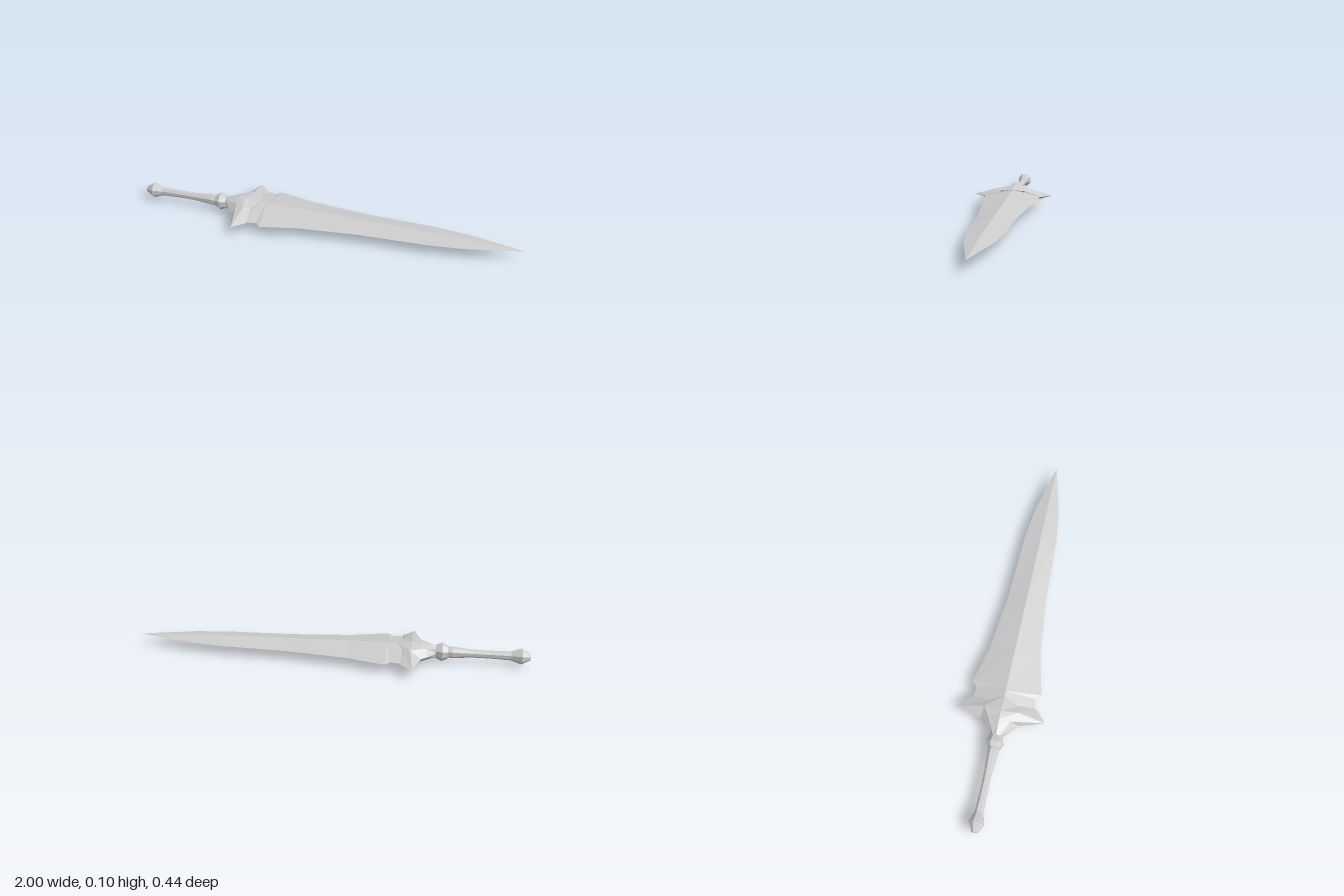
import * as THREE from 'three';

const AXIS_Y = 0.0515; // height of the sword's long axis

// Skin a list of rings (points [x, y, z], ordered from +y towards +z) with flat facets
function loft(name, rings, material) {
  const pos = [];
  const n = rings[0].length;
  const tri = (...pts) => pts.forEach((p) => pos.push(p[0], p[1] + AXIS_Y, p[2]));
  const centre = (ring) => [0, 1, 2].map((k) => ring.reduce((s, p) => s + p[k], 0) / n);
  for (let r = 0; r < rings.length - 1; r++) {
    const a = rings[r], b = rings[r + 1];
    for (let i = 0; i < n; i++) {
      const j = (i + 1) % n;
      tri(a[i], a[j], b[j]);
      tri(a[i], b[j], b[i]);
    }
  }
  const first = rings[0], last = rings[rings.length - 1];
  const c0 = centre(first), c1 = centre(last);
  for (let i = 0; i < n; i++) {
    const j = (i + 1) % n;
    tri(c0, first[j], first[i]);
    tri(c1, last[i], last[j]);
  }
  const geometry = new THREE.BufferGeometry();
  geometry.setAttribute('position', new THREE.Float32BufferAttribute(pos, 3));
  geometry.computeVertexNormals();
  const mesh = new THREE.Mesh(geometry, material);
  mesh.name = name;
  return mesh;
}

// Diamond section: half thickness h, half width w
const diamond = ([x, h, w]) => [[x, h, 0], [x, 0, w], [x, -h, 0], [x, 0, -w]];

// Eight-sided section with flats facing up and sideways
const octagon = ([x, r]) => Array.from({ length: 8 }, (_, i) => {
  const a = (i + 0.5) * Math.PI / 4, R = r / Math.cos(Math.PI / 8);
  return [x, R * Math.cos(a), R * Math.sin(a)];
});

// Guard section mirrored from ridge, shoulder and edge points
const guardRing = ([ridgeX, h, midX, midH, midZ, edgeX, edgeZ]) => [
  [ridgeX, h, 0], [midX, midH, midZ], [edgeX, 0, edgeZ], [midX, -midH, midZ],
  [ridgeX, -h, 0], [midX, -midH, -midZ], [edgeX, 0, -edgeZ], [midX, midH, -midZ],
];

export function createModel() {
  const group = new THREE.Group();
  group.name = 'sword';
  const steel = new THREE.MeshStandardMaterial({ color: 0xcccccc });
  steel.name = 'pale steel';

  // Blade with stepped shoulders and a long taper
  group.add(loft('blade', [
    [-0.42, 0.036, 0.1], [-0.365, 0.039, 0.155], [-0.315, 0.038, 0.148], [-0.29, 0.037, 0.175],
    [-0.1, 0.032, 0.13], [0.2, 0.026, 0.098], [0.55, 0.019, 0.085], [0.72, 0.014, 0.065], [1, 0, 0],
  ].map(diamond), steel));

  // Winged guard, its front ending in a point along the blade ridge
  group.add(loft('guard', [
    [-0.54, 0.03, -0.54, 0.022, 0.016, -0.54, 0.025],
    [-0.49, 0.042, -0.49, 0.03, 0.04, -0.49, 0.075],
    [-0.46, 0.049, -0.46, 0.035, 0.055, -0.465, 0.095],
    [-0.42, 0.0513, -0.41, 0.038, 0.085, -0.425, 0.22],
    [-0.34, 0.039, -0.375, 0.027, 0.075, -0.365, 0.163],
  ].map(guardRing), steel));

  // Slim faceted grip
  group.add(loft('grip', [
    [-0.91, 0.021], [-0.8, 0.018], [-0.71, 0.019], [-0.62, 0.027], [-0.59, 0.025],
  ].map(octagon), steel));

  // Collar between grip and guard
  group.add(loft('collar', [
    [-0.595, 0.031], [-0.568, 0.043], [-0.535, 0.031],
  ].map(octagon), steel));

  // Pommel
  group.add(loft('pommel', [
    [-1, 0.015], [-0.957, 0.037], [-0.905, 0.021],
  ].map(octagon), steel));

  return group;
}
